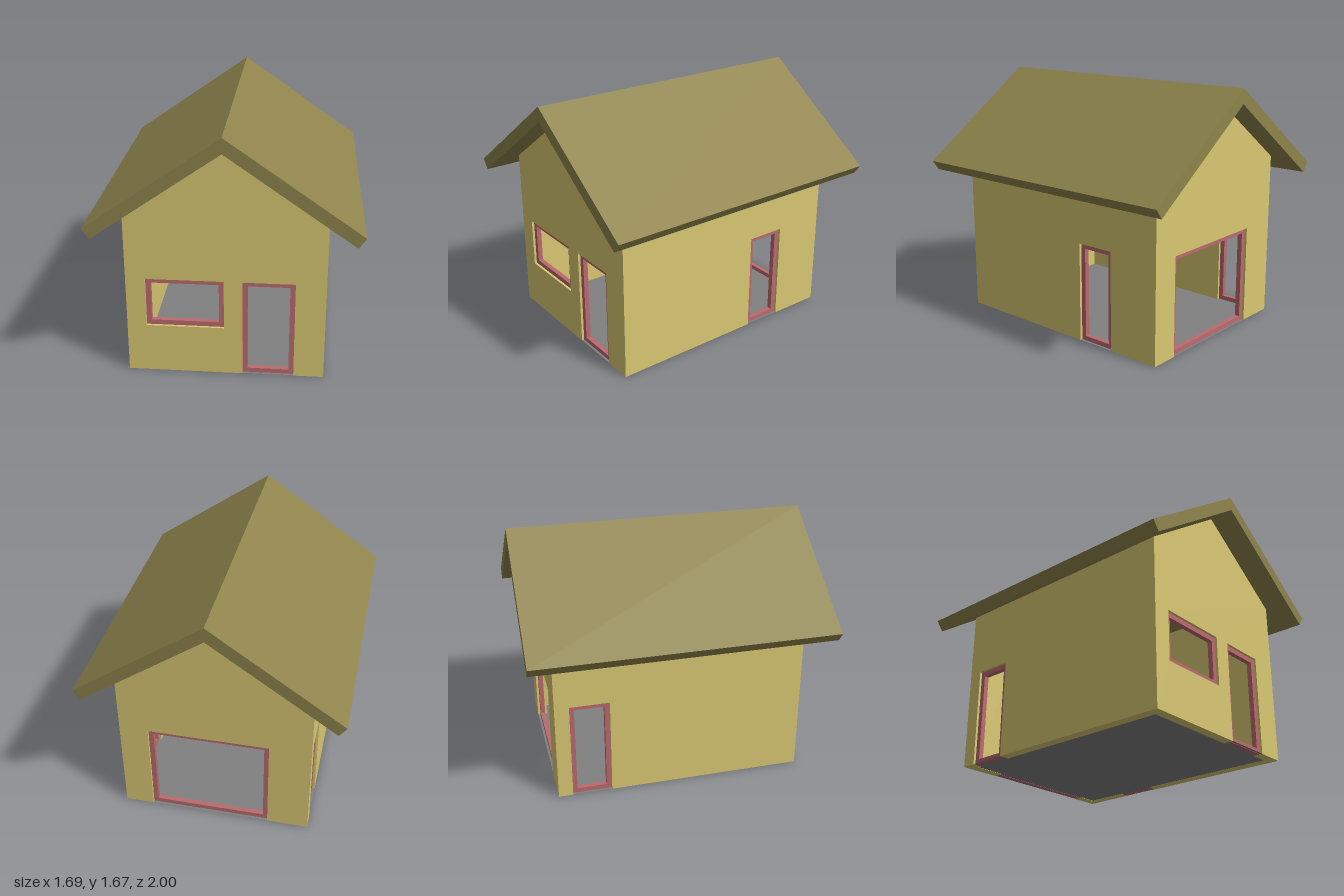
import * as THREE from 'three';

const WALL_X = 0.635, WALL_Z = 0.833, T = 0.067, FRAME = 0.033;
const RIDGE = 1.57, SLOPE = 0.7;

const mat = (color) => new THREE.MeshStandardMaterial({ color, flatShading: true });
const wallMat = mat(0xdac873), roofMat = mat(0x8f844c), frameMat = mat(0xbb6a6e), floorMat = mat(0x808080);
floorMat.side = THREE.DoubleSide;

function polygon(points) {
  return new THREE.Shape(points.map(([x, y]) => new THREE.Vector2(x, y)));
}

function rect(x0, y0, x1, y1) {
  return [[x0, y0], [x1, y0], [x1, y1], [x0, y1]];
}

function slab(name, shape, depth, material, z = 0) {
  const geometry = new THREE.ExtrudeGeometry(shape, { depth, bevelEnabled: false });
  const mesh = new THREE.Mesh(geometry, material);
  mesh.name = name;
  mesh.position.z = z;
  return mesh;
}

// A wall in its own plane, outer face on local z = 0, with framed openings [x0, y0, x1, y1].
function buildWall(name, half, top, openings) {
  const group = new THREE.Group();
  group.name = name;
  const outline = [[-half, 0]];
  // Openings that reach the ground are notches in the outline
  for (const [x0, y0, x1, y1] of openings) {
    if (y0 === 0) outline.push([x0, 0], [x0, y1], [x1, y1], [x1, 0]);
  }
  outline.push([half, 0], ...top);
  const shape = polygon(outline);
  for (const o of openings) {
    if (o[1] > 0) shape.holes.push(polygon(rect(...o)));
  }
  group.add(slab(name + 'Panel', shape, T, wallMat, -T));

  // Frames sit in the middle of the wall thickness
  for (const [x0, y0, x1, y1] of openings) {
    const frame = polygon(rect(x0, y0, x1, y1));
    frame.holes.push(polygon(rect(x0 + FRAME, y0 + FRAME, x1 - FRAME, y1 - FRAME)));
    group.add(slab(y0 > 0 ? 'windowFrame' : 'doorFrame', frame, FRAME, frameMat, -(T + FRAME) / 2));
  }
  return group;
}

export function createModel() {
  const house = new THREE.Group();
  house.name = 'house';

  // Gable walls
  const eave = RIDGE - SLOPE * WALL_X;
  const gable = [[WALL_X, eave], [0, RIDGE], [-WALL_X, eave]];
  const front = buildWall('frontWall', WALL_X, gable,
    [[-0.51, 0.333, -0.01, 0.667], [0.108, 0, 0.441, 0.667]]);
  front.position.z = WALL_Z;
  const back = buildWall('backWall', WALL_X, gable, [[-0.443, 0, 0.36, 0.667]]);
  back.position.z = -WALL_Z;
  back.rotation.y = Math.PI;

  // Side walls fit between the gables and run up into the roof
  const half = WALL_Z - T, sideTop = eave + SLOPE * T;
  const side = [[half, sideTop], [-half, sideTop]];
  const left = buildWall('leftWall', half, side, [[0.207, 0, 0.473, 0.667]]);
  left.position.x = WALL_X;
  left.rotation.y = Math.PI / 2;
  const right = buildWall('rightWall', half, side, [[-0.737, 0, -0.473, 0.667]]);
  right.position.x = -WALL_X;
  right.rotation.y = -Math.PI / 2;

  // Pitched roof with overhang on all sides
  const roof = slab('roof', polygon([
    [0, RIDGE], [0.8, 1.01], [0.847, 1.075], [0, 1.668], [-0.847, 1.075], [-0.8, 1.01],
  ]), 2, roofMat, -1);

  // Floor
  const floor = new THREE.Mesh(new THREE.PlaneGeometry(2 * WALL_X - 0.002, 2 * WALL_Z - 0.002), floorMat);
  floor.name = 'floor';
  floor.rotation.x = -Math.PI / 2;
  floor.position.y = 0.002;

  house.add(front, back, left, right, roof, floor);
  return house;
}
